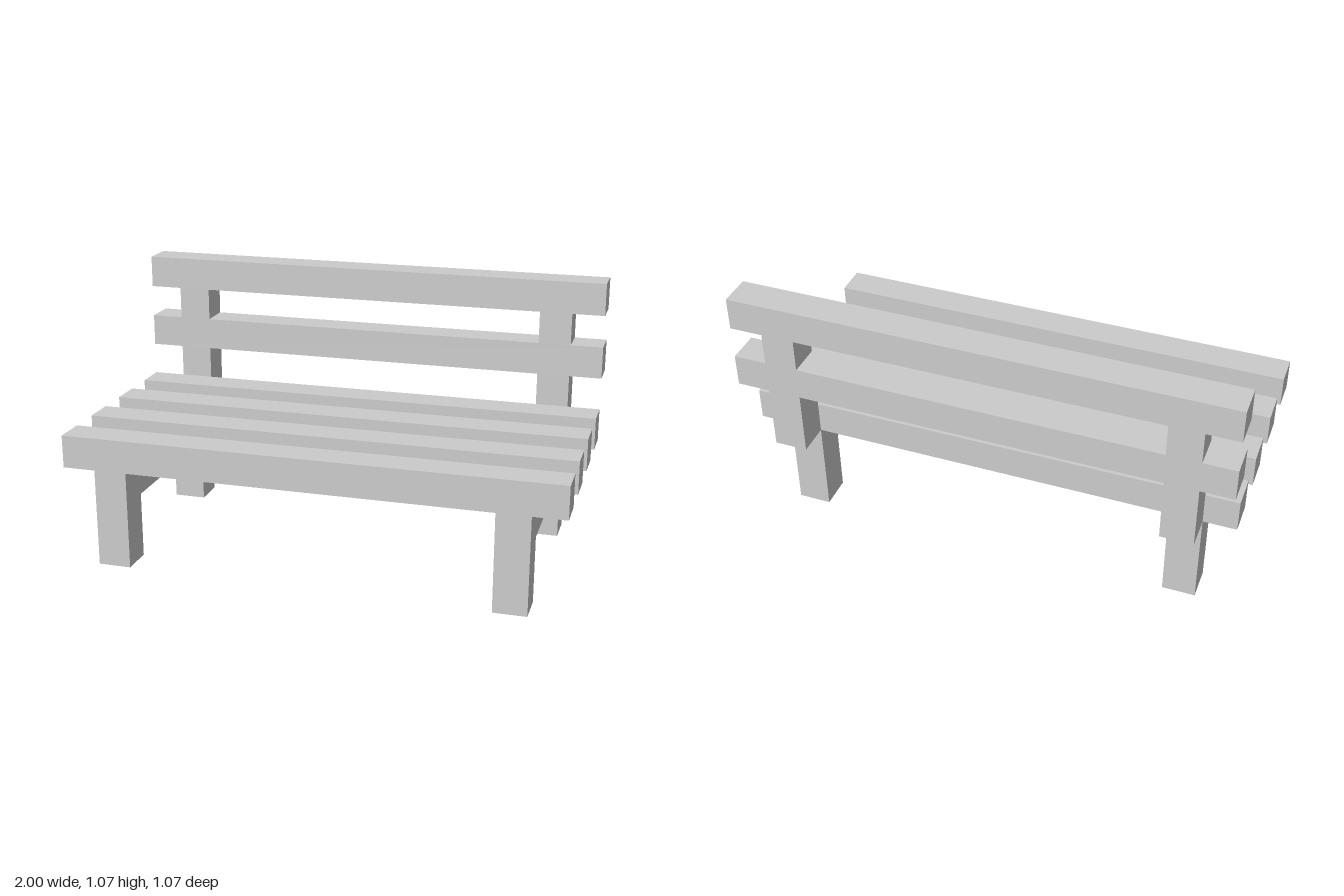
import * as THREE from 'three';

// The bench is laid out on a grid of square timbers, U thick
const U = 2 / 15;
const material = new THREE.MeshStandardMaterial({ color: 0xcccccc, flatShading: true });

// Box timber with size and centre given in timber thicknesses
function timber(name, [w, h, d], [x, y, z]) {
  const mesh = new THREE.Mesh(new THREE.BoxGeometry(w * U, h * U, d * U), material);
  mesh.name = name;
  mesh.position.set(x * U, y * U, z * U);
  return mesh;
}

// Front leg, seat rail and back leg as one arch, drawn in the z-y plane
function legFrame(name, x) {
  const outline = [[-3, 0], [-2, 0], [-2, 2], [3, 2], [3, 0], [4, 0], [4, 3], [-3, 3]];
  const shape = new THREE.Shape(outline.map(([z, y]) => new THREE.Vector2(z * U, y * U)));
  const geometry = new THREE.ExtrudeGeometry(shape, { depth: U, bevelEnabled: false });
  geometry.translate(0, 0, -U / 2).rotateY(-Math.PI / 2);
  const mesh = new THREE.Mesh(geometry, material);
  mesh.name = name;
  mesh.position.x = x * U;
  return mesh;
}

export function createModel() {
  const bench = new THREE.Group();
  bench.name = 'bench';

  // Seat slats, front to back
  for (const z of [3.5, 1.5, -0.5, -2.5]) {
    bench.add(timber('seatSlat', [15, 1, 1], [0, 3.5, z]));
  }

  // Backrest slats, flush with the posts
  for (const y of [5.5, 7.5]) {
    bench.add(timber('backSlat', [15, 1, 1], [0, y, -3.5]));
  }

  // Leg frames and back posts on both sides
  for (const [side, x] of [['left', 6], ['right', -6]]) {
    bench.add(legFrame(side + 'LegFrame', x));
    bench.add(timber(side + 'LowerBackPost', [1, 2, 1], [x, 4, -3.5]));
    bench.add(timber(side + 'UpperBackPost', [1, 1, 1], [x, 6.5, -3.5]));
  }
  return bench;
}
